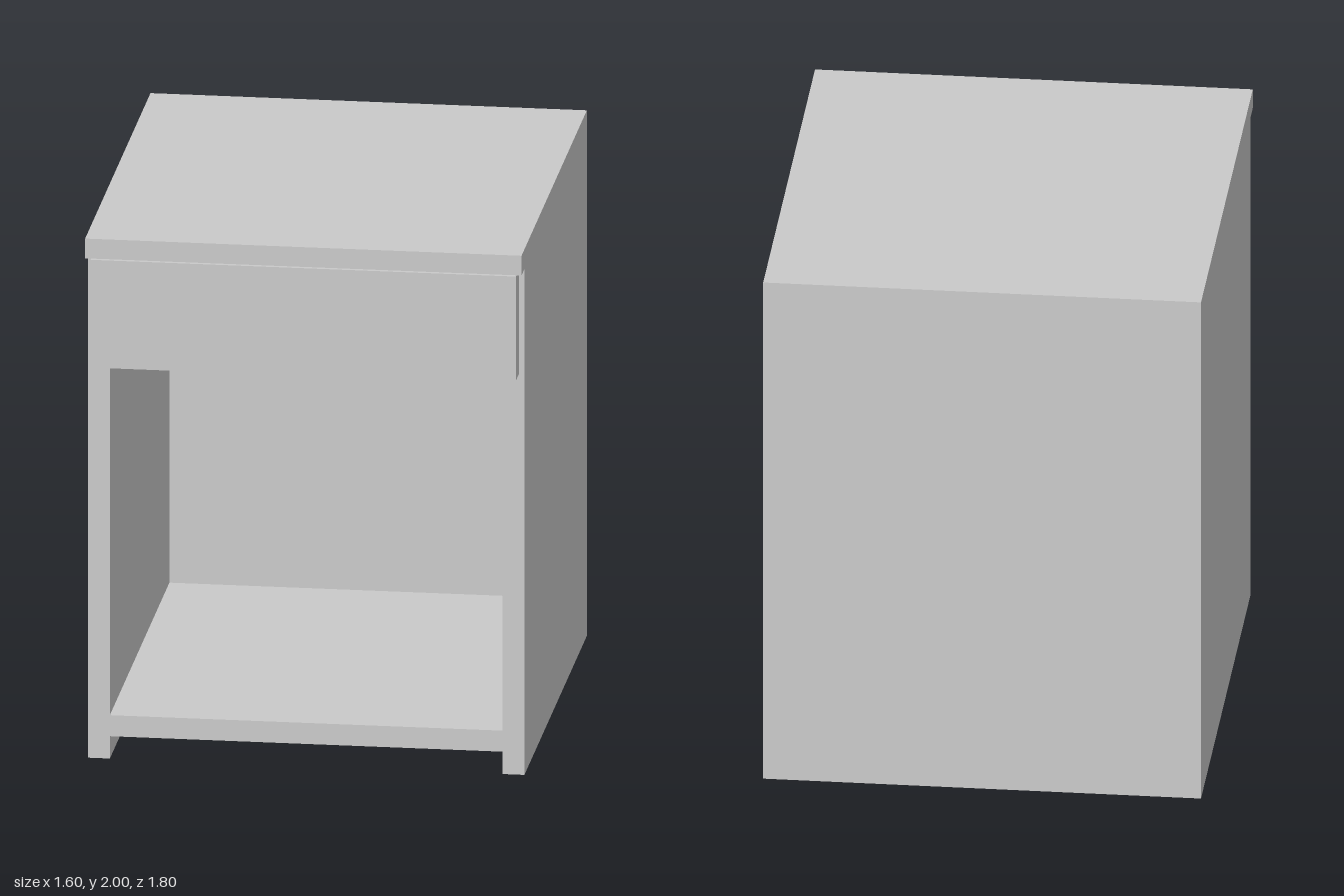
import * as THREE from 'three';

const material = new THREE.MeshStandardMaterial({ color: 0xcccccc });

// Box given by its min and max corners
function box(name, [x0, y0, z0], [x1, y1, z1]) {
  const geometry = new THREE.BoxGeometry(x1 - x0, y1 - y0, z1 - z0);
  geometry.translate((x0 + x1) / 2, (y0 + y1) / 2, (z0 + z1) / 2);
  const mesh = new THREE.Mesh(geometry, material);
  mesh.name = name;
  return mesh;
}

export function createModel() {
  const group = new THREE.Group();
  group.name = 'nightstand';

  const W = 0.8, inner = 0.72;          // half widths outside and inside
  const back = -0.9, front = 0.82, lip = 0.9;
  const topUnder = 1.925;

  // Carcass: sides, floor and rail in one section, open below the floor
  const section = new THREE.Shape([
    [-W, 0], [-inner, 0], [-inner, 0.085], [inner, 0.085],
    [inner, 0], [W, 0], [W, topUnder], [-W, topUnder],
  ].map(([x, y]) => new THREE.Vector2(x, y)));

  // Open compartment, and the drawer bay above it
  for (const [y0, y1] of [[0.165, 1.485], [1.525, 1.87]]) {
    section.holes.push(new THREE.Path([
      [-inner, y0], [-inner, y1], [inner, y1], [inner, y0],
    ].map(([x, y]) => new THREE.Vector2(x, y))));
  }
  const carcassGeometry = new THREE.ExtrudeGeometry(section, {
    depth: front - back - 0.08, bevelEnabled: false,
  });
  carcassGeometry.translate(0, 0, back + 0.08);
  const carcass = new THREE.Mesh(carcassGeometry, material);
  carcass.name = 'carcass';
  group.add(carcass);

  // Back panel down to the ground, overhanging top, drawer front
  group.add(
    box('backPanel', [-W, 0, back], [W, topUnder, back + 0.08]),
    box('top', [-W, topUnder, back], [W, 2, lip]),
    box('drawerFront', [-0.78, 1.525, front], [0.78, 1.92, lip]),
  );

  return group;
}
